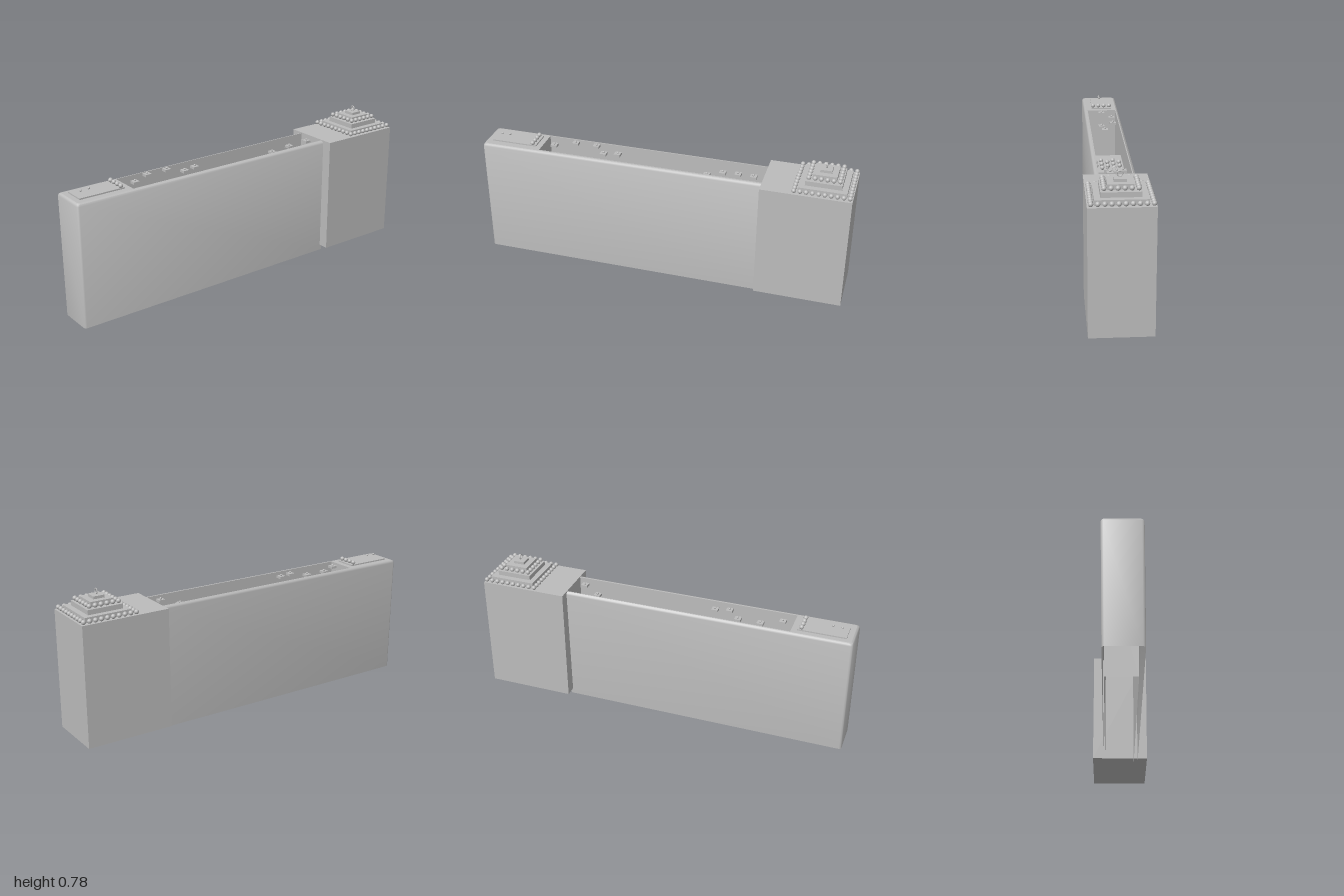
import * as THREE from 'three';
import { toCreasedNormals } from 'three/addons/utils/BufferGeometryUtils.js';

const stone = new THREE.MeshStandardMaterial({ color: 0xbcbcbc, side: THREE.DoubleSide });
stone.name = 'stone grey';

const TOP = 0.657, BACK = -0.545;
const SLOT = { left: -0.085, right: 0.078, front: 0.68 };

export function createModel() {
  const model = new THREE.Group();
  model.name = 'longTempleHall';

  function add(name, geometry, x = 0, y = 0, z = 0, parent = model) {
    const mesh = new THREE.Mesh(geometry, stone);
    mesh.name = name;
    mesh.position.set(x, y, z);
    parent.add(mesh);
    return mesh;
  }
  // box given by its base height
  const box = (name, w, h, d, x, y, z, parent) =>
    add(name, new THREE.BoxGeometry(w, h, d), x, y + h / 2, z, parent);
  const ballGeo = new THREE.SphereGeometry(0.0118, 14, 10);
  const smallGeo = new THREE.SphereGeometry(0.006, 10, 8);
  const ball = (name, x, y, z, parent) => add(name, ballGeo, x, y, z, parent);
  const smallBall = (name, x, y, z, parent) => add(name, smallGeo, x, y, z, parent);

  // U-shaped footprint, narrowing towards the bottom on one side
  function footprint(y, inset) {
    const left = 0.094 + 0.009 * y / TOP - inset;
    const right = 0.1 - inset;
    const front = 1 - inset;
    return [
      [-left, BACK], [-left, front - 0.012], [-left + 0.004, front - 0.004], [-left + 0.012, front],
      [right - 0.012, front], [right - 0.004, front - 0.004], [right, front - 0.012], [right, BACK],
    ];
  }

  // outer walls: lofted footprints with a rounded top edge
  const levels = [[0, 0], [0.643, 0], [0.653, 0.004], [TOP, 0.013]];
  const positions = [], index = [];
  levels.forEach(([y, inset], row) => {
    const ring = footprint(y, inset);
    ring.forEach(([x, z], i) => {
      positions.push(x, y, z);
      if (row && i) {
        const a = (row - 1) * ring.length + i - 1, b = a + ring.length;
        index.push(a, a + 1, b, a + 1, b + 1, b);
      }
    });
  });
  const shell = new THREE.BufferGeometry();
  shell.setAttribute('position', new THREE.Float32BufferAttribute(positions, 3));
  shell.setIndex(index);
  add('outerWalls', toCreasedNormals(shell, 0.9));

  // deck around the open slot
  const outline = footprint(TOP, 0.013).map(([x, z]) => new THREE.Vector2(x, -z));
  outline.push(
    new THREE.Vector2(SLOT.right, -BACK), new THREE.Vector2(SLOT.right, -SLOT.front),
    new THREE.Vector2(SLOT.left, -SLOT.front), new THREE.Vector2(SLOT.left, -BACK));
  const deck = new THREE.ShapeGeometry(new THREE.Shape(outline));
  deck.rotateX(-Math.PI / 2);
  add('deck', deck, 0, TOP, 0);

  // slot lining
  const slotLength = SLOT.front - BACK, slotMiddle = (SLOT.front + BACK) / 2;
  for (const [name, x, turn] of [['rightLining', SLOT.left, 1], ['leftLining', SLOT.right, -1]]) {
    add(name, new THREE.PlaneGeometry(slotLength, TOP), x, TOP / 2, slotMiddle).rotation.y = turn * Math.PI / 2;
  }
  const slotWidth = SLOT.right - SLOT.left, slotX = (SLOT.right + SLOT.left) / 2;
  add('frontLining', new THREE.PlaneGeometry(slotWidth, TOP), slotX, TOP / 2, SLOT.front).rotation.y = Math.PI;

  // sunken platform with a checkered grid of balls
  const platform = new THREE.Group();
  platform.name = 'platform';
  model.add(platform);
  box('platformSlab', slotWidth, 0.016, 0.305, slotX, 0.502, 0.073, platform);
  for (let i = 0; i < 5; i++) {
    for (let j = 0; j < 5; j++) {
      const x = -0.063 + i * 0.0315, z = -0.03 + j * 0.0325;
      if ((i + j) % 2) ball('platformBall', x, 0.53, z, platform);
      else smallBall('platformSmallBall', x, 0.524, z, platform);
    }
  }

  // floating steps [x, top, z], each with a knob
  const steps = [
    [0.02, 0.655, -0.48], [-0.02, 0.632, -0.39], [-0.058, 0.606, -0.3],
    [-0.056, 0.58, -0.213], [-0.028, 0.58, -0.213], [-0.018, 0.555, -0.132], [0.012, 0.555, -0.132],
    [0, 0.66, 0.262], [0.016, 0.66, 0.336], [-0.053, 0.66, 0.4], [-0.053, 0.66, 0.518], [0, 0.66, 0.622],
  ];
  for (const [x, top, z] of steps) {
    const step = new THREE.Group();
    step.name = 'floatingStep';
    step.position.set(x, top, z);
    model.add(step);
    box('stepSlab', 0.034, 0.013, 0.034, 0, -0.013, 0, step);
    smallBall('stepKnob', 0, 0.004, 0, step);
  }

  // front terrace
  box('terracePlate', 0.115, 0.007, 0.25, -0.006, TOP, 0.835);
  for (let i = 0; i < 4; i++) ball('terraceBall', -0.052 + i * 0.032, 0.674, 0.73);
  smallBall('hoveringBall', 0, 0.683, 0.88);
  smallBall('hoveringBall', 0, 0.681, 0.926);

  // rear tower with a stepped crown
  const tower = new THREE.Group();
  tower.name = 'tower';
  model.add(tower);
  box('towerBlock', 0.31, 0.632, 0.465, 0, 0.03, -0.7675, tower);
  const crownZ = -0.846;
  const tiers = [[0.245, 0.662, 0.025], [0.186, 0.687, 0.025], [0.122, 0.712, 0.026], [0.06, 0.738, 0.014]];
  for (const [w, y, h] of tiers) box('crownTier', w, h, w, 0, y, crownZ, tower);

  // square rings of balls around the tiers
  function ballRing(count, half, y) {
    for (let i = 0; i < count; i++) {
      for (let j = 0; j < count; j++) {
        if (i % (count - 1) && j % (count - 1)) continue;
        const at = k => -half + 2 * half * k / (count - 1);
        ball('crownBall', at(i) - 0.002, y, crownZ + at(j), tower);
      }
    }
  }
  ballRing(10, 0.14, 0.675);
  ballRing(6, 0.078, 0.726);
  add('finialRing', new THREE.TorusGeometry(0.0125, 0.0028, 8, 24), 0, 0.768, crownZ, tower);

  return model;
}
